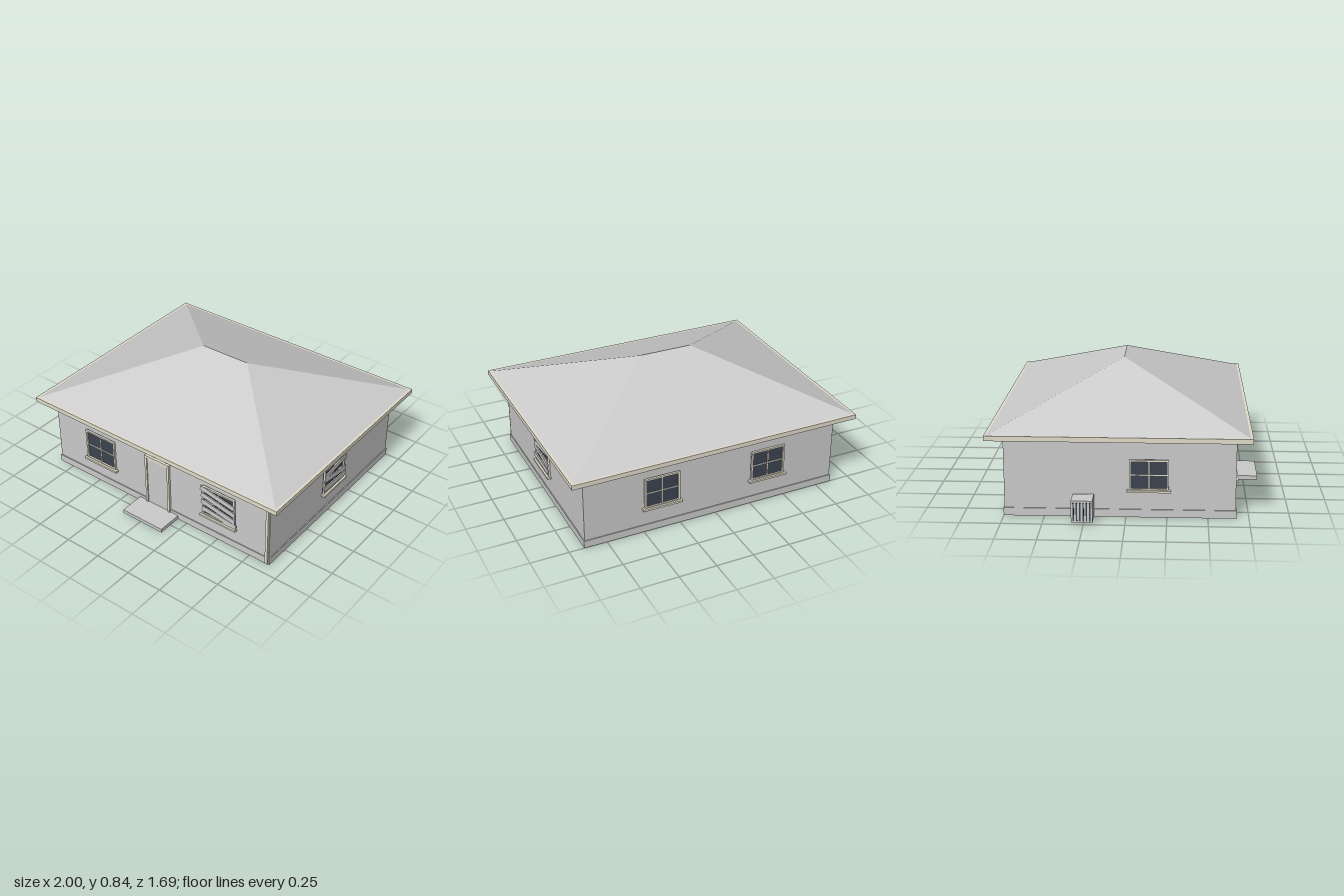
import * as THREE from 'three';

const mat = (color) => new THREE.MeshStandardMaterial({ color, flatShading: true });
const GREY = mat(0xcccccc), TRIM = mat(0xe2ddcc), GLASS = mat(0x3c4450);

// Box given by its lower and upper bounds on each axis
function box(parent, name, [x0, x1], [y0, y1], [z0, z1], material = GREY) {
  const mesh = new THREE.Mesh(new THREE.BoxGeometry(x1 - x0, y1 - y0, z1 - z0), material);
  mesh.position.set((x0 + x1) / 2, (y0 + y1) / 2, (z0 + z1) / 2);
  mesh.name = name;
  parent.add(mesh);
  return mesh;
}

// Hipped roof: four sloping faces rising from a rectangle to a ridge
function hipRoof(hx, hz, ridge, height) {
  const a = [-hx, 0, hz], b = [hx, 0, hz], c = [hx, 0, -hz], d = [-hx, 0, -hz];
  const l = [-ridge, height, 0], r = [ridge, height, 0];
  const faces = [a, b, r, a, r, l, b, c, r, c, d, l, c, l, r, d, a, l];
  const geo = new THREE.BufferGeometry();
  geo.setAttribute('position', new THREE.Float32BufferAttribute(faces.flat(), 3));
  geo.computeVertexNormals();
  return geo;
}

// Window on a wall plane, facing local +z; planks are [height, tilt, shift]
function makeWindow(name, w, y0, y1, planks = []) {
  const g = new THREE.Group(), h = w / 2, t = 0.012, ym = (y0 + y1) / 2;
  g.name = name;
  box(g, 'glass', [-h, h], [y0, y1], [-0.004, 0.003], GLASS);
  for (const s of [-1, 1]) {
    const x = s * (h - t / 2);
    box(g, 'frameSide', [x - t / 2, x + t / 2], [y0, y1], [-0.004, 0.014], TRIM);
  }
  box(g, 'frameTop', [-h + t, h - t], [y1 - t, y1], [-0.004, 0.014], TRIM);
  box(g, 'frameBottom', [-h + t, h - t], [y0, y0 + t], [-0.004, 0.014], TRIM);
  box(g, 'sill', [-h - 0.014, h + 0.014], [y0 - 0.009, y0 + 0.004], [-0.004, 0.027], TRIM);
  box(g, 'mullion', [-0.003, 0.003], [y0 + t, y1 - t], [0, 0.008], TRIM);
  box(g, 'transom', [-h + t, h - t], [ym - 0.003, ym + 0.003], [0, 0.008], TRIM);
  for (const [y, tilt, shift] of planks) {
    const p = box(g, 'plank', [shift - h - 0.008, shift + h + 0.008], [y - 0.017, y + 0.017], [0.011, 0.019]);
    p.rotation.z = tilt;
  }
  return g;
}

export function createModel() {
  const house = new THREE.Group();
  house.name = 'house';
  const wall = { x0: -0.855, x1: 0.895, z0: -0.745, z1: 0.668 };

  // Walls and plinth
  box(house, 'walls', [wall.x0, wall.x1], [0.01, 0.51], [wall.z0, wall.z1]);
  box(house, 'plinth', [wall.x0 - 0.006, wall.x1 + 0.006], [0, 0.05], [wall.z0 - 0.006, wall.z1 + 0.006]);

  // Roof with pale fascia and grey soffit
  box(house, 'fascia', [-0.957, 0.997], [0.504, 0.535], [-0.845, 0.76], TRIM);
  box(house, 'soffit', [-0.947, 0.987], [0.502, 0.51], [-0.835, 0.75]);
  const roof = new THREE.Mesh(hipRoof(0.96, 0.786, 0.178, 0.309), GREY);
  roof.name = 'roof';
  roof.position.set(0.02, 0.535, -0.0425);
  house.add(roof);

  // Door with frame and step
  const door = new THREE.Group();
  door.name = 'door';
  door.position.set(0.019, 0, wall.z1);
  house.add(door);
  box(door, 'doorPanel', [-0.084, 0.084], [0.03, 0.385], [-0.004, 0.008]);
  for (const s of [-1, 1]) {
    box(door, 'doorJamb', [s * 0.091 - 0.008, s * 0.091 + 0.008], [0.03, 0.41], [-0.004, 0.016], TRIM);
  }
  box(door, 'doorHead', [-0.083, 0.083], [0.394, 0.41], [-0.004, 0.016], TRIM);
  box(door, 'doorStop', [-0.083, 0.083], [0.383, 0.394], [-0.004, 0.011], TRIM);
  box(door, 'step', [-0.16, 0.162], [0.005, 0.031], [-0.01, 0.177]);

  // Windows: [name, x, z, turn, width, bottom, top, planks]
  const frontPlanks = [[0.343, -0.19, -0.006], [0.292, -0.2, 0], [0.24, -0.19, 0], [0.195, -0.12, 0.008]];
  const sidePlanks = [[0.333, 0.14, 0.003], [0.271, -0.15, 0], [0.215, -0.04, 0]];
  const windows = [
    ['frontRightWindow', -0.469, wall.z1, 0, 0.25, 0.155, 0.382],
    ['frontLeftWindow', 0.511, wall.z1, 0, 0.25, 0.155, 0.382, frontPlanks],
    ['leftWindow', wall.x1, -0.043, Math.PI / 2, 0.24, 0.174, 0.369, sidePlanks],
    ['rightWindow', wall.x0, 0.14, -Math.PI / 2, 0.24, 0.174, 0.369],
    ['backLeftWindow', 0.375, wall.z0, Math.PI, 0.24, 0.172, 0.384],
    ['backRightWindow', -0.37, wall.z0, Math.PI, 0.24, 0.172, 0.384],
  ];
  for (const [name, x, z, turn, ...spec] of windows) {
    const win = makeWindow(name, ...spec);
    win.position.set(x, 0, z);
    win.rotation.y = turn;
    house.add(win);
  }

  // Downspout at the front corner
  box(house, 'downspout', [0.873, 0.891], [0.01, 0.51], [0.66, 0.685], TRIM);

  // Outdoor cooling unit with vertical grille slats
  const unit = new THREE.Group();
  unit.name = 'coolingUnit';
  house.add(unit);
  box(unit, 'unitBody', [-0.994, -0.868], [0.01, 0.148], [-0.325, -0.195]);
  for (let i = 0; i < 6; i++) {
    const z = -0.31 + i * 0.02;
    box(unit, 'grilleSlat', [-1, -0.99], [0.022, 0.136], [z - 0.004, z + 0.004], GLASS);
  }
  return house;
}
